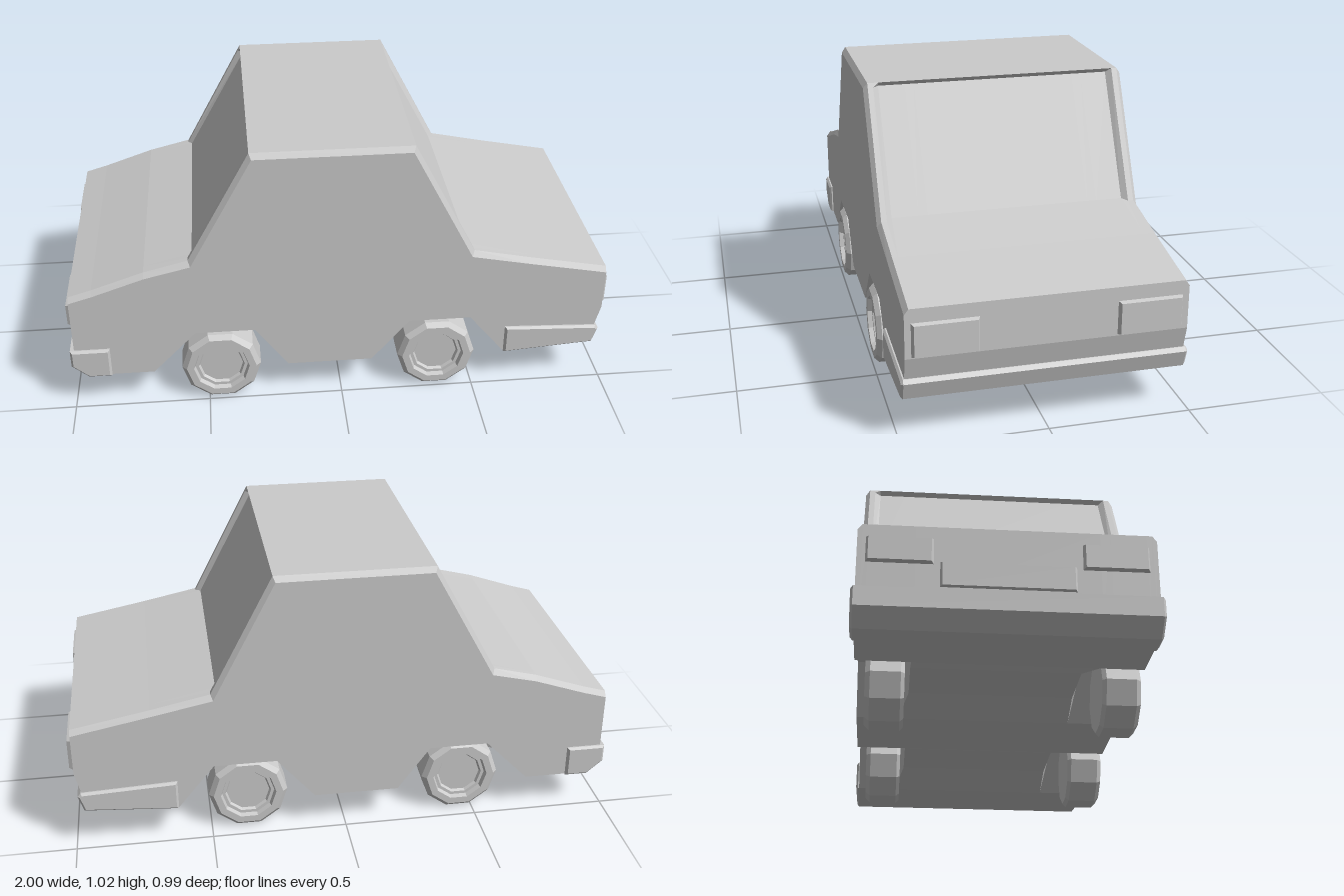
import * as THREE from 'three';

const grey = new THREE.MeshStandardMaterial({ color: 0xcccccc, flatShading: true });

function addMesh(parent, name, geometry) {
  const mesh = new THREE.Mesh(geometry, grey);
  mesh.name = name;
  parent.add(mesh);
  return mesh;
}

// Side outline, from the rear bottom over the roof to the front and back underneath
const OUTLINE = [
  [-0.94, 0.13], [-0.985, 0.2], [-0.985, 0.475], [-0.9, 0.5], [-0.71, 0.565], [-0.55, 0.605],
  [-0.328, 1.01], [-0.32, 1.025], [0.255, 1.025], [0.263, 1.01],
  [0.485, 0.585], [0.7, 0.54], [0.985, 0.485], [0.985, 0.31], [0.965, 0.23], [0.955, 0.155],
  [0.62, 0.13], [0.485, 0.295], [0.255, 0.295], [0.115, 0.13],
  [-0.2, 0.13], [-0.32, 0.295], [-0.54, 0.295], [-0.7, 0.13],
];
const GLASS = { 5: [-0.535, 0.608], 6: [-0.308, 1.01], 9: [0.243, 1.01], 10: [0.465, 0.59] };
const ARCH_TOPS = [17, 18, 21, 22];

// Outline at one distance from the centre line
function section({ edge, glass, channel }) {
  return OUTLINE.map(([x, y], i) => {
    if (edge && i >= 2 && i <= 12) {
      const pillar = i >= 5 && i <= 10 ? -Math.sign(x) * 0.008 : 0;
      return [x + pillar, y - 0.02];
    }
    if (glass && GLASS[i]) return GLASS[i];
    if (channel && ARCH_TOPS.includes(i)) return [x, 0.18];
    return [x, y];
  });
}

// Body shell: bevelled sides, recessed windows, wheel wells joined by shallow channels
function bodyGeometry() {
  const half = [
    [0.48, { edge: true }], [0.465, {}], [0.445, {}], [0.425, { glass: true }],
    [0.33, { glass: true }], [0.295, { glass: true, channel: true }],
  ];
  const rings = [
    ...half.map(([z, o]) => ({ z: -z, pts: section(o) })),
    ...half.slice().reverse().map(([z, o]) => ({ z, pts: section(o) })),
  ];
  const pos = [];
  const n = OUTLINE.length;
  for (let k = 0; k < rings.length - 1; k++) {
    const p = rings[k], q = rings[k + 1];
    for (let i = 0; i < n; i++) {
      const j = (i + 1) % n;
      const a = [...p.pts[i], p.z], b = [...p.pts[j], p.z];
      const c = [...q.pts[j], q.z], d = [...q.pts[i], q.z];
      pos.push(...a, ...d, ...c, ...a, ...c, ...b);
    }
  }
  // Flat sides
  for (const ring of [rings[0], rings[rings.length - 1]]) {
    const pts = ring.pts.map(([x, y]) => new THREE.Vector2(x, y));
    for (const tri of THREE.ShapeUtils.triangulateShape(pts, [])) {
      const t = tri.map((i) => pts[i]);
      if (THREE.ShapeUtils.area(t) * ring.z < 0) t.reverse();
      t.forEach((v) => pos.push(v.x, v.y, ring.z));
    }
  }
  const g = new THREE.BufferGeometry();
  g.setAttribute('position', new THREE.Float32BufferAttribute(pos, 3));
  g.computeVertexNormals();
  return g;
}

// Full-width bumper from its side profile
function bumperGeometry(points, halfWidth) {
  const bevel = 0.008;
  const shape = new THREE.Shape(points.map(([x, y]) => new THREE.Vector2(x, y)));
  const g = new THREE.ExtrudeGeometry(shape, {
    depth: 2 * (halfWidth - bevel), bevelEnabled: true, bevelSegments: 1,
    bevelSize: bevel, bevelThickness: bevel, bevelOffset: -bevel,
  });
  return g.translate(0, 0, -(halfWidth - bevel));
}

// Raised panel on an end of the car, with its outer face tapered in
function panelGeometry(depth, height, width, side) {
  const g = new THREE.BoxGeometry(depth, height, width);
  const p = g.attributes.position;
  for (let i = 0; i < p.count; i++) {
    if (p.getX(i) * side > 0) {
      p.setY(i, p.getY(i) - Math.sign(p.getY(i)) * 0.01);
      p.setZ(i, p.getZ(i) - Math.sign(p.getZ(i)) * 0.015);
    }
  }
  g.computeVertexNormals();
  return g;
}

// Ten-sided wheel with a bevelled tyre and a sunken hub, facing +z
function wheelGeometry() {
  const profile = [
    [0, -0.067], [0.134, -0.067], [0.147, -0.054], [0.147, 0.05], [0.13, 0.067],
    [0.104, 0.067], [0.098, 0.05], [0.086, 0.05], [0.08, 0.04], [0, 0.04],
  ].map(([r, y]) => new THREE.Vector2(r, y));
  return new THREE.LatheGeometry(profile, 10, Math.PI / 2).rotateX(Math.PI / 2);
}

export function createModel() {
  const car = new THREE.Group();
  car.name = 'car';
  addMesh(car, 'body', bodyGeometry());

  addMesh(car, 'frontBumper', bumperGeometry(
    [[0.62, 0.13], [0.96, 0.155], [0.98, 0.217], [0.968, 0.23], [0.62, 0.245]], 0.493));
  addMesh(car, 'rearBumper', bumperGeometry(
    [[-0.94, 0.128], [-0.855, 0.128], [-0.855, 0.248], [-1, 0.248], [-1, 0.18]], 0.493));

  // Lights on both ends
  for (const s of [-1, 1]) {
    addMesh(car, 'headlight', panelGeometry(0.03, 0.13, 0.24, 1)).position.set(0.985, 0.375, s * 0.346);
    addMesh(car, 'tailLight', panelGeometry(0.03, 0.1, 0.23, -1)).position.set(-0.985, 0.385, s * 0.345);
  }
  addMesh(car, 'rearPlate', panelGeometry(0.02, 0.1, 0.45, -1)).position.set(-0.984, 0.305, 0);

  // Wheels
  const wheel = wheelGeometry();
  for (const [end, x] of [['front', 0.36], ['rear', -0.45]]) {
    const near = addMesh(car, end + 'RightWheel', wheel);
    near.position.set(x, 0.14, 0.426);
    const far = addMesh(car, end + 'LeftWheel', wheel);
    far.position.set(x, 0.14, -0.38);
    far.rotation.y = Math.PI;
  }
  return car;
}
